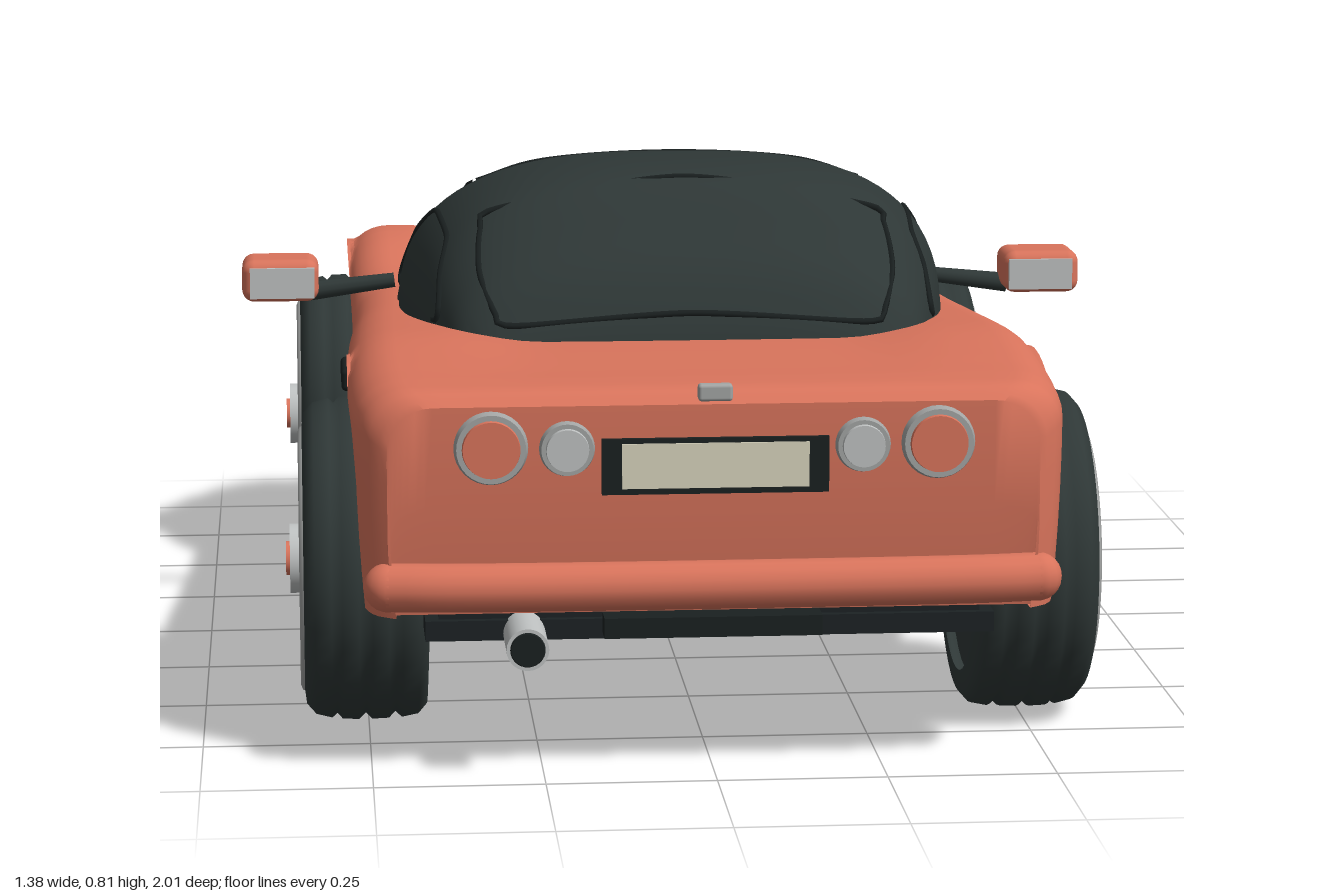
import * as THREE from 'three';
import { toCreasedNormals } from 'three/addons/utils/BufferGeometryUtils.js';
import { RoundedBoxGeometry } from 'three/addons/geometries/RoundedBoxGeometry.js';

const mat = (name, color, side = THREE.FrontSide) => {
  const m = new THREE.MeshStandardMaterial({ color, side });
  m.name = name;
  return m;
};
const paint = mat('coral paint', 0xd9745c, THREE.DoubleSide);
const rubber = mat('dark rubber', 0x2f3837, THREE.DoubleSide);
const roofMat = mat('dark soft top', 0x2e3736, THREE.DoubleSide);
const under = mat('underbody', 0x1c2224, THREE.DoubleSide);
const trim = mat('black trim', 0x1a2020);
const metal = mat('grey metal', 0xa3a5a4);
const silver = mat('silver', 0xbfc2c2);
const cream = mat('cream', 0xd8d4bd);

// Smooth curve through [position, value] pairs
const curve = (pairs) => {
  const c = new THREE.CubicInterpolant(
    new Float32Array(pairs.map((p) => p[0])), new Float32Array(pairs.map((p) => p[1])), 1);
  return (t) => c.evaluate(t)[0];
};
const V = (x, y, z) => new THREE.Vector3(x, y, z);

// Body curves along z: nose at -1, tail at +0.95
const NOSE = -1, TAIL = 0.955, ARCH = 0.308, AXLE = 0.25, WHEELS = [-0.625, 0.57];
const halfWidth = curve([[-1, 0.42], [-0.98, 0.45], [-0.94, 0.475], [-0.85, 0.5], [-0.62, 0.512], [-0.35, 0.508],
  [-0.1, 0.51], [0.2, 0.52], [0.57, 0.527], [0.8, 0.525], [0.9, 0.515], [0.935, 0.5], [0.955, 0.475]]);
const deck = curve([[-1, 0.41], [-0.985, 0.43], [-0.93, 0.452], [-0.8, 0.478], [-0.6, 0.505], [-0.35, 0.525],
  [-0.08, 0.545], [0.2, 0.565], [0.57, 0.577], [0.8, 0.575], [0.9, 0.573], [0.935, 0.567], [0.955, 0.55]]);
const bulge = curve([[-1, 0], [-0.95, 0.02], [-0.87, 0.042], [-0.75, 0.07], [-0.62, 0.082], [-0.5, 0.062],
  [-0.4, 0.022], [-0.32, 0.002], [-0.2, 0], [0.2, 0], [0.4, 0.008], [0.57, 0.015], [0.75, 0.008], [0.9, 0], [0.955, 0]]);

function bodyTop(x, z) {
  const f = Math.abs(x) / halfWidth(z);
  const e = THREE.MathUtils.clamp((f - 0.86) / 0.14, 0, 1);
  return deck(z) + bulge(z) * THREE.MathUtils.smoothstep(Math.abs(x), 0.23, 0.39)
    - 0.065 * (1 - Math.sqrt(1 - e * e));
}
function bodyBottom(z) {
  for (const c of WHEELS) {
    const d = Math.abs(z - c);
    if (d <= ARCH) return AXLE + Math.sqrt(ARCH * ARCH - d * d);
  }
  return z > 0.7 ? 0.24 : 0.215;
}

// Surface from rows of points, left to right and back to front
function skin(rows, crease = 0.7) {
  const w = rows[0].length, index = [];
  for (let i = 0; i < rows.length - 1; i++)
    for (let j = 0; j < w - 1; j++) {
      const a = i * w + j;
      index.push(a, a + w, a + 1, a + 1, a + w, a + w + 1);
    }
  const g = new THREE.BufferGeometry().setFromPoints(rows.flat());
  g.setIndex(index);
  return toCreasedNormals(g, crease);
}

function bodyGeometry() {
  const stops = new Set();
  for (let i = 0; i <= 40; i++) stops.add(NOSE + (TAIL - NOSE) * i / 40);
  [-0.99, -0.975, 0.92, 0.935, 0.947].forEach((z) => stops.add(z));
  for (const c of WHEELS) {
    for (let i = 0; i <= 28; i++) stops.add(c + ARCH * 0.99999 * Math.cos(Math.PI * i / 28));
    stops.add(c - ARCH - 0.001).add(c + ARCH + 0.001);
  }
  const fractions = [];
  for (let i = 0; i < 14; i++) fractions.push(0.86 * i / 14);
  for (let i = 0; i <= 8; i++) fractions.push(0.86 + 0.14 * Math.sin(Math.PI / 2 * i / 8));
  const rows = [...stops].sort((a, b) => a - b).map((z) => {
    const low = bodyBottom(z), hw = halfWidth(z);
    const half = fractions.map((f) => V(hw * f, Math.max(low, bodyTop(hw * f, z)), z));
    const edge = half[half.length - 1].y;
    for (let i = 1; i <= 5; i++) half.push(V(hw - 0.012 * (i / 5) ** 2, edge + (low - edge) * i / 5, z));
    return [...half.slice(1).reverse().map((p) => V(-p.x, p.y, p.z)), ...half];
  });
  // Rounded nose and flat tail close the ends
  const end = (row, low, t, z, s) => row.map((p) => V(p.x * s, p.y + (low - p.y) * t, z));
  const first = rows[0], last = rows[rows.length - 1];
  rows.unshift(end(first, 0.215, 1, -0.945, 0.95), end(first, 0.215, 0.7, -0.975, 0.98), end(first, 0.215, 0.35, -0.997, 1));
  rows.push(end(last, 0.24, 0.5, 0.955, 1), end(last, 0.24, 1, 0.93, 1));
  return skin(rows);
}

// Soft top: rounded sections above a flat base
const ROOF = 0.53, POWER = 2.8;
const roofWidth = curve([[-0.14, 0.38], [-0.1, 0.425], [0, 0.435], [0.2, 0.432], [0.35, 0.41], [0.45, 0.385], [0.53, 0.355], [0.575, 0.31]]);
const roofTop = curve([[-0.14, 0.53], [-0.09, 0.595], [-0.02, 0.705], [0.04, 0.785], [0.1, 0.807], [0.2, 0.815], [0.32, 0.808], [0.38, 0.79], [0.45, 0.735], [0.53, 0.655], [0.575, 0.56]]);
const roofY = (x, z) => ROOF + (roofTop(z) - ROOF) * Math.max(0, 1 - (Math.abs(x) / roofWidth(z)) ** POWER) ** (1 / POWER);
const roofX = (y, z) => roofWidth(z) * Math.max(0, 1 - ((y - ROOF) / (roofTop(z) - ROOF)) ** POWER) ** (1 / POWER);
function roofGeometry() {
  const rows = [];
  for (let i = 0; i <= 36; i++) {
    const z = -0.14 + 0.715 * i / 36, row = [];
    for (let j = 0; j <= 40; j++) {
      const a = Math.PI * (1 - j / 40), c = Math.cos(a), p = 2 / POWER;
      row.push(V(Math.sign(c) * Math.abs(c) ** p * roofWidth(z), ROOF + (roofTop(z) - ROOF) * Math.abs(Math.sin(a)) ** p, z));
    }
    rows.push(row);
  }
  rows.push(rows[36].map((p) => V(p.x, ROOF, p.z)));
  return skin(rows, 0.9);
}

export function createModel() {
  const car = new THREE.Group();
  car.name = 'car';
  const add = (name, geometry, material, x = 0, y = 0, z = 0, parent = car) => {
    const m = new THREE.Mesh(geometry, material);
    m.name = name;
    m.position.set(x, y, z);
    parent.add(m);
    return m;
  };
  const box = (name, material, w, h, d, x, y, z, r = 0) =>
    add(name, r ? new RoundedBoxGeometry(w, h, d, 3, r) : new THREE.BoxGeometry(w, h, d), material, x, y, z);
  const line = (name, points, closed = false, r = 0.003, tension = 0) =>
    add(name, new THREE.TubeGeometry(new THREE.CatmullRomCurve3(points, closed, 'catmullrom', tension), points.length * 10, r, 5, closed), trim);
  const disc = (name, material, r, depth, x, y, z) =>
    add(name, new THREE.CylinderGeometry(r * 0.9, r, depth, 32), material, x, y, z).rotateX(Math.PI / 2);

  add('body', bodyGeometry(), paint);
  add('softTop', roofGeometry(), roofMat);
  box('floor', under, 0.84, 0.03, 1.82, 0, 0.205, -0.02);
  box('middleFloor', under, 0.99, 0.025, 0.56, 0, 0.205, -0.025);

  // Rear wheel wells
  const well = new THREE.Shape();
  well.moveTo(-ARCH, 0.21).lineTo(ARCH, 0.21).lineTo(ARCH, AXLE).absarc(0, AXLE, ARCH, 0, Math.PI, false);
  const wellGeo = new THREE.ExtrudeGeometry(well, { depth: 0.8, bevelEnabled: false, curveSegments: 24 });
  add('rearWheelWells', wellGeo.translate(0, 0, -0.4).rotateY(Math.PI / 2), under, 0, 0, WHEELS[1]);
  const liner = new THREE.CylinderGeometry(ARCH - 0.002, ARCH - 0.002, 1.0, 32, 1, true, 0, Math.PI);
  add('rearWellLiner', liner.rotateZ(Math.PI / 2), rubber, 0, AXLE, WHEELS[1]);

  // Wheels: grooved tyre, spoked rim, hub
  const tyre = [[0.19, 0.41], [0.225, 0.412], [0.24, 0.425], [0.245, 0.45], [0.236, 0.46], [0.246, 0.47], [0.247, 0.495],
    [0.237, 0.505], [0.247, 0.515], [0.246, 0.54], [0.237, 0.548], [0.244, 0.556], [0.238, 0.58], [0.222, 0.594], [0.2, 0.597], [0.19, 0.59]];
  const tyreGeo = new THREE.LatheGeometry(tyre.map((p) => new THREE.Vector2(...p)), 48);
  const rimGeo = new THREE.TorusGeometry(0.193, 0.011, 8, 48);
  for (const z of WHEELS) for (const side of [1, -1]) {
    const wheel = new THREE.Group();
    wheel.name = (z < 0 ? 'nose' : 'tail') + 'Wheel';
    wheel.position.set(0, AXLE - 0.002, z);
    wheel.rotation.y = side > 0 ? 0 : Math.PI;
    car.add(wheel);
    const round = (name, material, r, depth, x) =>
      add(name, new THREE.CylinderGeometry(r, r, depth, 32), material, x, 0, 0, wheel).rotateZ(-Math.PI / 2);
    add('tyre', tyreGeo, rubber, 0, 0, 0, wheel).rotateZ(-Math.PI / 2);
    round('wheelDisc', rubber, 0.192, 0.13, 0.49);
    add('rim', rimGeo, metal, 0.592, 0, 0, wheel).rotateY(Math.PI / 2);
    for (let i = 0; i < 8; i++) {
      const a = i * Math.PI / 4;
      const spoke = add('spoke', new THREE.CylinderGeometry(0.007, 0.012, 0.16, 6), metal, 0.588, Math.cos(a) * 0.115, Math.sin(a) * 0.115, wheel);
      spoke.rotation.x = a;
    }
    round('hub', silver, 0.053, 0.06, 0.587);
    round('hubCap', paint, 0.026, 0.01, 0.618);
  }

  // Parts mirrored on both sides
  for (const s of [1, -1]) {
    const sidePoint = (z, y) => V(s * (halfWidth(z) - 0.001), y, z);
    box('sill', rubber, 0.04, 0.05, 0.53, s * 0.505, 0.235, -0.025, 0.018);
    box('sideVent', trim, 0.02, 0.036, 0.13, s * 0.522, 0.453, 0.125, 0.008);
    line('doorRearSeam', [sidePoint(0.235, 0.5), sidePoint(0.235, 0.37), sidePoint(0.235, 0.25)]);
    line('doorFrontSeam', [sidePoint(-0.07, 0.48), sidePoint(-0.05, 0.41), sidePoint(-0.28, 0.33), sidePoint(-0.25, 0.25)], false, 0.002);
    line('bonnetSeam', [[0.2, -0.97], [0.215, -0.8], [0.24, -0.6], [0.275, -0.4], [0.325, -0.18]]
      .map(([x, z]) => V(s * x, bodyTop(x, z), z)), false, 0.002, 0.5);

    // Side window and windscreen frames
    line('sideWindowFrame', [[0.43, 0.59], [0.39, 0.66], [0.34, 0.705], [0.25, 0.72], [0.14, 0.72], [0.08, 0.68], [0.02, 0.59]]
      .map(([z, y]) => V(s * roofX(y, z), y, z)), true, 0.005, 0.3);
    line('windscreenPost', [-0.11, -0.06, 0, 0.05, 0.09].map((z) => V(s * (0.34 - z * 0.3), roofY(0.34 - z * 0.3, z), z)), false, 0.004, 0.5);

    // Door mirror
    box('mirrorHousing', paint, 0.125, 0.07, 0.105, s * 0.628, 0.587, -0.035, 0.02);
    box('mirrorGlass', silver, 0.105, 0.05, 0.008, s * 0.625, 0.585, 0.018);
    add('mirrorArm', new THREE.CylinderGeometry(0.012, 0.016, 0.14, 10), rubber, s * 0.51, 0.568, -0.06).rotation.z = s * 1.45;

    // Headlight
    const lamp = (name, material, w, h, l, y, z) => {
      const m = add(name, new THREE.SphereGeometry(1, 24, 16), material, s * 0.3, y, z);
      m.scale.set(w, h, l);
      m.rotation.set(-0.5, s * 0.12, 0);
    };
    lamp('headlightSurround', trim, 0.054, 0.028, 0.068, 0.449, -0.948);
    lamp('headlightLens', cream, 0.038, 0.028, 0.046, 0.451, -0.963);

    // Tail lamps
    disc('tailLampRing', metal, 0.056, 0.02, s * 0.325, 0.49, 0.958);
    disc('tailLampLens', paint, 0.046, 0.03, s * 0.325, 0.49, 0.96);
    disc('smallLampRing', metal, 0.042, 0.02, s * 0.215, 0.488, 0.958);
    disc('smallLampLens', silver, 0.034, 0.03, s * 0.215, 0.488, 0.96);
  }

  // Windscreen header, rear window, wipers, scuttle vents
  const across = [-0.31, -0.2, 0, 0.2, 0.31];
  line('windscreenHeader', across.map((x) => V(x, roofY(x, 0.09), 0.09)), false, 0.004, 0.5);
  line('rearWindowFrame', [[-0.29, 0.365], [0, 0.355], [0.29, 0.365], [0.315, 0.39], [0.32, 0.46], [0.3, 0.53], [0.27, 0.548],
    [0, 0.55], [-0.27, 0.548], [-0.3, 0.53], [-0.32, 0.46], [-0.315, 0.39]].map(([x, z]) => V(x, roofY(x, z), z)), true, 0.005, 0.4);
  for (const x of [-0.23, 0.03])
    line('wiper', [0, 0.06, 0.12].map((d) => V(x + d, roofY(x + d, -0.06 - d * 0.25) + 0.004, -0.06 - d * 0.25)), false, 0.004);
  for (let i = 0; i < 8; i++) box('scuttleVent', silver, 0.05, 0.006, 0.01, -0.28 + i * 0.08, 0.546, -0.138);

  // Nose openings
  const grille = add('grille', new THREE.SphereGeometry(1, 32, 16), trim, 0, 0.363, -0.99);
  grille.scale.set(0.15, 0.034, 0.014);
  box('lowerIntake', trim, 0.28, 0.035, 0.03, 0, 0.275, -0.966, 0.01).rotation.x = 0.4;

  // Tail: bumper, plate, latch, exhaust
  const bumper = new THREE.CatmullRomCurve3([[-0.475, 0.945], [-0.4, 0.955], [0, 0.962], [0.4, 0.955], [0.475, 0.945]].map(([x, z]) => V(x, 0, z)));
  add('rearBumper', new THREE.TubeGeometry(bumper, 32, 0.036, 16), paint, 0, 0.285, 0);
  for (const x of [-0.475, 0.475]) add('bumperEnd', new THREE.SphereGeometry(0.036, 16, 12), paint, x, 0.285, 0.945);
  box('rearValance', trim, 0.32, 0.03, 0.05, 0, 0.215, 0.91);
  box('plateFrame', trim, 0.33, 0.082, 0.012, 0, 0.461, 0.957);
  box('plate', cream, 0.272, 0.066, 0.008, 0, 0.462, 0.962);
  box('bootLatch', metal, 0.05, 0.025, 0.02, 0, 0.567, 0.95, 0.005);
  add('exhaust', new THREE.CylinderGeometry(0.031, 0.031, 0.13, 24), silver, -0.275, 0.2, 0.93).rotateX(Math.PI / 2);
  disc('exhaustOpening', trim, 0.027, 0.006, -0.275, 0.2, 0.995);
  return car;
}
